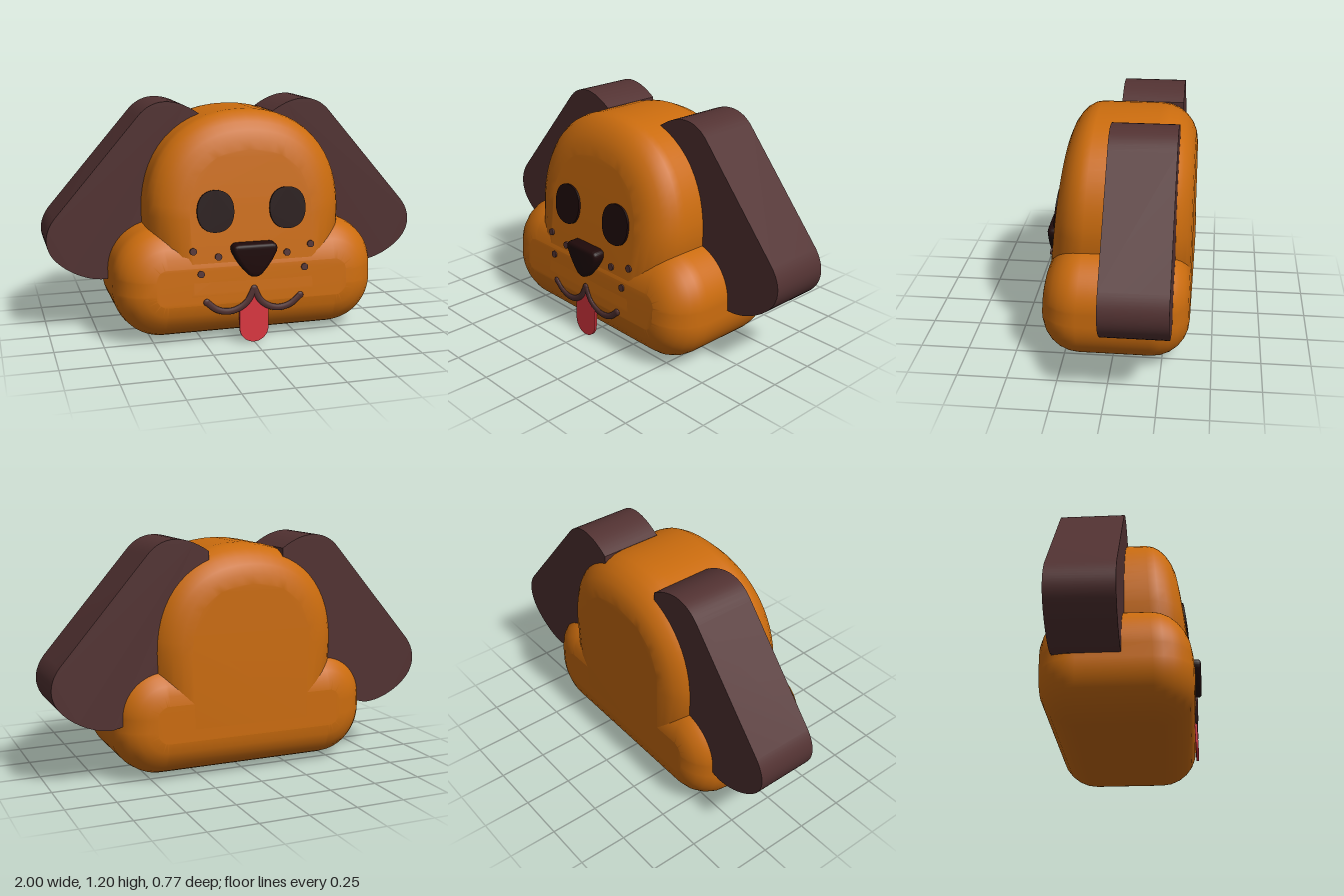
import * as THREE from 'three';
import { mergeVertices, toCreasedNormals } from 'three/addons/utils/BufferGeometryUtils.js';

const mat = (name, color) => {
  const m = new THREE.MeshStandardMaterial({ color });
  m.name = name;
  return m;
};

export function createModel() {
  const group = new THREE.Group();
  const fur = mat('orange fur', 0xcb6c0e);
  const brown = mat('dark brown', 0x523232);
  const black = mat('near black', 0x1f0a0a);
  const red = mat('tongue red', 0xda3640);

  const FRONT = 0.355, SLOPE = 0.125, BEVEL = 0.19;
  // height of the sloping face plane
  const faceZ = (y) => FRONT - SLOPE * Math.max(0, y - 0.3);

  const add = (name, geo, material, parent = group) => {
    const mesh = new THREE.Mesh(geo, material);
    mesh.name = name;
    parent.add(mesh);
    return mesh;
  };

  // soft pillow from an outline, its front leaning back with height
  const pillow = (shape) => {
    let g = new THREE.ExtrudeGeometry(shape, {
      depth: 0.36, bevelThickness: BEVEL, bevelSize: BEVEL, bevelOffset: -BEVEL,
      bevelSegments: 6, curveSegments: 14,
    });
    g.translate(0, 0, -0.195);
    const p = g.attributes.position;
    for (let i = 0; i < p.count; i++) {
      const z = p.getZ(i);
      if (z > 0) p.setZ(i, z - (z / FRONT) * (FRONT - faceZ(p.getY(i))));
    }
    g.deleteAttribute('uv');
    g.deleteAttribute('normal');
    g = mergeVertices(g, 1e-4);
    g.computeVertexNormals();
    return g;
  };

  // plate with crisp rims
  const plate = (shape, depth, bevel = 0) => toCreasedNormals(new THREE.ExtrudeGeometry(shape, {
    depth, curveSegments: 14, bevelEnabled: bevel > 0, bevelThickness: bevel,
    bevelSize: bevel, bevelOffset: -bevel, bevelSegments: 3,
  }), 0.6);

  // upper head
  const dome = new THREE.Shape();
  dome.moveTo(-0.49, 0.08);
  dome.lineTo(0.49, 0.08);
  dome.lineTo(0.51, 0.65);
  dome.bezierCurveTo(0.51, 0.95, 0.33, 1.165, 0, 1.165);
  dome.bezierCurveTo(-0.33, 1.165, -0.51, 0.95, -0.51, 0.65);
  dome.closePath();
  add('head', pillow(dome), fur);

  // wide cheeks
  const W = 0.69, B = 0.02, T = 0.59, R = 0.25;
  const jowl = new THREE.Shape();
  jowl.absarc(W - R, B + R, R, -Math.PI / 2, 0);
  jowl.absarc(W - R, T - R, R, 0, Math.PI / 2);
  jowl.absarc(R - W, T - R, R, Math.PI / 2, Math.PI);
  jowl.absarc(R - W, B + R, R, Math.PI, Math.PI * 1.5);
  jowl.closePath();
  add('cheeks', pillow(jowl), fur);

  // ears
  const ear = new THREE.Shape();
  ear.moveTo(0.2, 1.0);
  ear.lineTo(0.62, 0.31);
  ear.lineTo(0.7, 0.29);
  ear.bezierCurveTo(0.8, 0.285, 0.92, 0.35, 0.97, 0.42);
  ear.bezierCurveTo(1.01, 0.48, 1.008, 0.55, 0.955, 0.62);
  ear.lineTo(0.52, 1.125);
  ear.bezierCurveTo(0.44, 1.225, 0.32, 1.22, 0.2, 1.135);
  ear.closePath();
  const earGeo = plate(ear, 0.325);
  earGeo.translate(0, 0, -0.305);

  // eyes
  const eye = new THREE.Shape();
  eye.moveTo(0.095, 0);
  eye.bezierCurveTo(0.095, 0.065, 0.06, 0.106, 0, 0.106);
  eye.bezierCurveTo(-0.06, 0.106, -0.095, 0.065, -0.095, 0);
  eye.bezierCurveTo(-0.095, -0.065, -0.06, -0.106, 0, -0.106);
  eye.bezierCurveTo(0.06, -0.106, 0.095, -0.065, 0.095, 0);
  const eyeGeo = plate(eye, 0.02);
  const dotGeo = new THREE.CylinderGeometry(0.018, 0.018, 0.02, 16).rotateX(Math.PI / 2);

  // half of the smile
  const smile = new THREE.CatmullRomCurve3([
    [0, 0.28], [0.035, 0.215], [0.085, 0.18], [0.14, 0.17], [0.195, 0.185], [0.246, 0.226],
  ].map(([x, y]) => new THREE.Vector3(x, y, 0)));
  const smileGeo = new THREE.TubeGeometry(smile, 28, 0.017, 10).scale(1, 1, 0.5);
  const tipGeo = new THREE.SphereGeometry(0.018, 14, 10).scale(1, 1, 0.5);

  for (const [s, side] of [[1, 'left'], [-1, 'right']]) {
    const half = new THREE.Group();
    half.name = `${side}Side`;
    half.scale.x = s;
    group.add(half);
    add(`${side}Ear`, earGeo, brown, half);

    const e = add(`${side}Eye`, eyeGeo, black, half);
    e.position.set(0.188, 0.677, faceZ(0.677) - 0.009);
    e.rotation.x = -SLOPE;

    for (const [x, y] of [[0.308, 0.485], [0.18, 0.451], [0.272, 0.37]]) {
      const d = add(`${side}Freckle`, dotGeo, brown, half);
      d.position.set(x, y, faceZ(y) - 0.003);
      d.rotation.x = -SLOPE;
    }

    add(`${side}Mouth`, smileGeo, brown, half).position.z = 0.358;
    add(`${side}MouthTip`, tipGeo, brown, half).position.set(0.246, 0.226, 0.358);
  }
  add('mouthTop', tipGeo, brown).position.set(0, 0.28, 0.358);

  // nose
  const nose = new THREE.Shape();
  nose.moveTo(0.085, 0.517);
  nose.lineTo(-0.085, 0.517);
  nose.quadraticCurveTo(-0.125, 0.515, -0.113, 0.472);
  nose.quadraticCurveTo(-0.085, 0.41, -0.035, 0.358);
  nose.quadraticCurveTo(0, 0.332, 0.035, 0.358);
  nose.quadraticCurveTo(0.085, 0.41, 0.113, 0.472);
  nose.quadraticCurveTo(0.125, 0.515, 0.085, 0.517);
  const noseGeo = plate(nose, 0.05, 0.018);
  noseGeo.translate(0, 0, 0.322);
  add('nose', noseGeo, black);

  // tongue
  const tongue = new THREE.Shape();
  tongue.moveTo(0.076, 0.19);
  tongue.quadraticCurveTo(0.03, 0.22, 0, 0.27);
  tongue.quadraticCurveTo(-0.03, 0.22, -0.076, 0.19);
  tongue.lineTo(-0.076, 0.076);
  tongue.absarc(0, 0.076, 0.076, Math.PI, Math.PI * 2);
  tongue.closePath();
  const t = add('tongue', plate(tongue, 0.013), red);
  t.position.z = 0.353;
  t.rotation.x = -0.03;

  return group;
}
